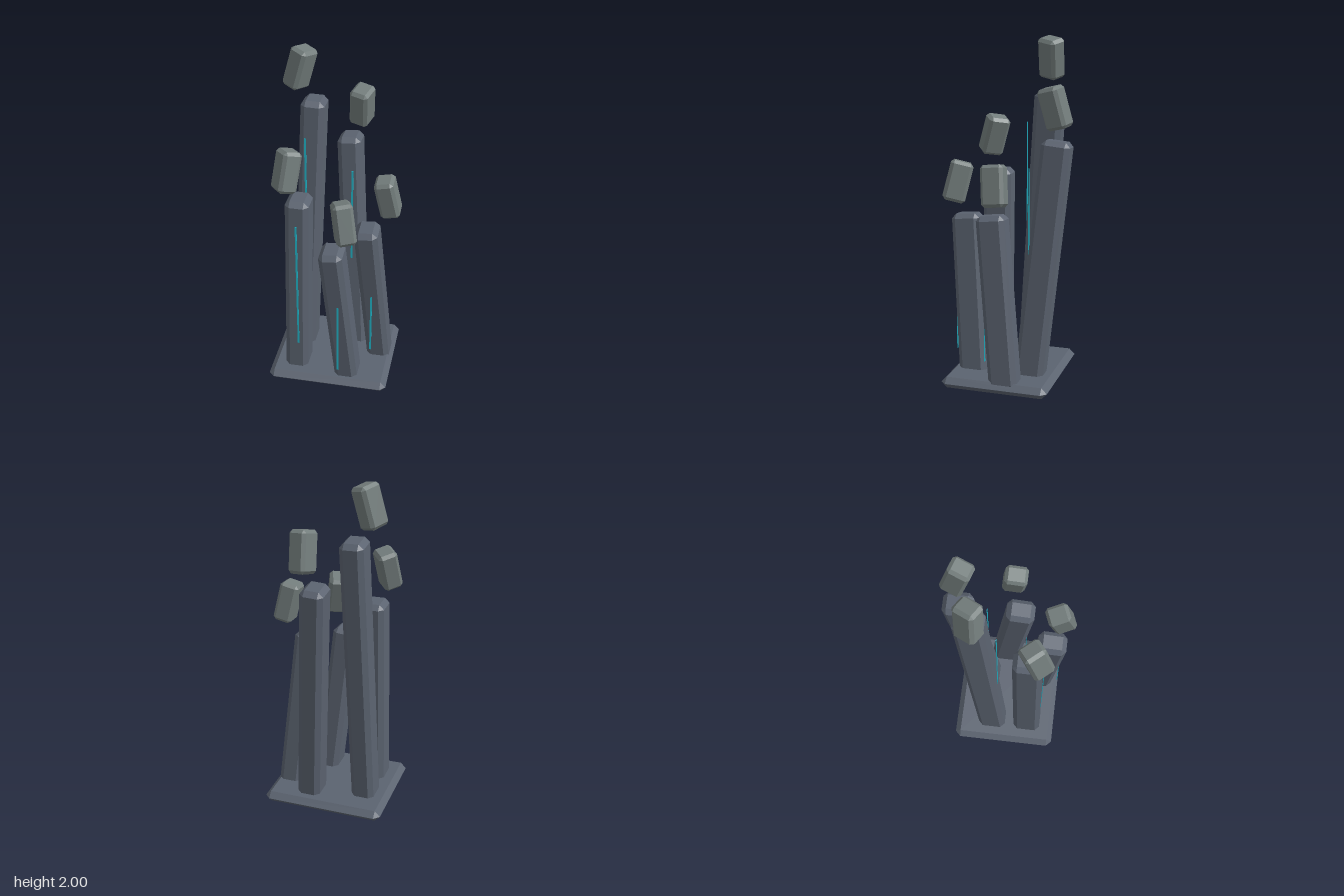
import * as THREE from 'three';
import { ConvexGeometry } from 'three/addons/geometries/ConvexGeometry.js';

const stone = new THREE.MeshStandardMaterial({ color: 0x5b6370, flatShading: true });
const paleStone = new THREE.MeshStandardMaterial({ color: 0x737d7c, flatShading: true });
const glow = new THREE.MeshStandardMaterial({ color: 0x22b8cc });

// Box with every edge and corner cut by a single flat bevel
function chamferBox(w, h, d, b) {
  const x = w / 2, y = h / 2, z = d / 2, points = [];
  for (const sx of [-1, 1]) for (const sy of [-1, 1]) for (const sz of [-1, 1]) {
    points.push(
      new THREE.Vector3(sx * x, sy * (y - b), sz * (z - b)),
      new THREE.Vector3(sx * (x - b), sy * y, sz * (z - b)),
      new THREE.Vector3(sx * (x - b), sy * (y - b), sz * z));
  }
  return new ConvexGeometry(points);
}

// Tip a mesh so its own y axis follows dir, after turning it about that axis
function aim(mesh, dir, yaw = 0) {
  const up = new THREE.Vector3(0, 1, 0);
  mesh.quaternion.setFromUnitVectors(up, dir.clone().normalize())
    .multiply(new THREE.Quaternion().setFromAxisAngle(up, yaw));
}

function add(parent, name, geometry, material, x, y, z) {
  const mesh = new THREE.Mesh(geometry, material);
  mesh.name = name;
  mesh.position.set(x, y, z);
  parent.add(mesh);
  return mesh;
}

// Per column: foot and top centres, glowing strip [x, top y, z],
// floating block centre, its lean [dx, dz] per unit height, and its yaw
const columns = [
  { name: 'backRight', foot: [-0.22, 0.02, -0.08], top: [-0.17, 1.685, -0.192],
    strip: [-0.197, 1.5, -0.045], block: [-0.247, 1.873, -0.173], lean: [0.27, -0.03], yaw: -0.5 },
  { name: 'frontRight', foot: [-0.215, 0.02, 0.145], top: [-0.197, 1.22, 0.129],
    strip: [-0.197, 1.08, 0.225], block: [-0.252, 1.41, 0.178], lean: [0.12, -0.3], yaw: 0.65 },
  { name: 'front', foot: [0.102, 0.02, 0.183], top: [0.014, 0.98, 0.257],
    strip: [0.06, 0.88, 0.312], block: [0.088, 1.18, 0.288], lean: [-0.17, -0.22], yaw: 0.37 },
  { name: 'left', foot: [0.262, 0.02, -0.052], top: [0.18, 1.015, 0.052],
    strip: [0.22, 0.9, 0.087], block: [0.29, 1.205, 0.002], lean: [-0.21, 0.1], yaw: 0 },
  { name: 'back', foot: [0.1, 0.02, -0.152], top: [0.02, 1.43, -0.286],
    strip: [0.06, 1.27, -0.13], block: [0.086, 1.622, -0.286], lean: [0.05, 0.27], yaw: -0.3 },
];

export function createModel() {
  const model = new THREE.Group();
  model.name = 'columnCluster';

  // Bevelled slab
  add(model, 'base', chamferBox(0.72, 0.066, 0.634, 0.0325), stone, -0.01, 0.035, 0.002);

  for (const c of columns) {
    const group = new THREE.Group();
    group.name = c.name + 'Column';
    model.add(group);

    // Leaning shaft
    const foot = new THREE.Vector3(...c.foot), top = new THREE.Vector3(...c.top);
    const axis = top.clone().sub(foot), mid = foot.clone().lerp(top, 0.5);
    const shaft = add(group, 'shaft', chamferBox(0.137, axis.length(), 0.17, 0.028), stone, mid.x, mid.y, mid.z);
    aim(shaft, axis);

    // Thin upright strip, partly sunk into the shaft
    const [sx, sy, sz] = c.strip;
    add(group, 'glowStrip', new THREE.BoxGeometry(0.011, sy - 0.15, 0.004), glow, sx, (sy + 0.15) / 2, sz);

    // Tilted block floating over the shaft
    const block = add(group, 'floatingBlock', chamferBox(0.112, 0.235, 0.132, 0.018), paleStone, ...c.block);
    aim(block, new THREE.Vector3(c.lean[0], 1, c.lean[1]), c.yaw);
  }
  return model;
}
